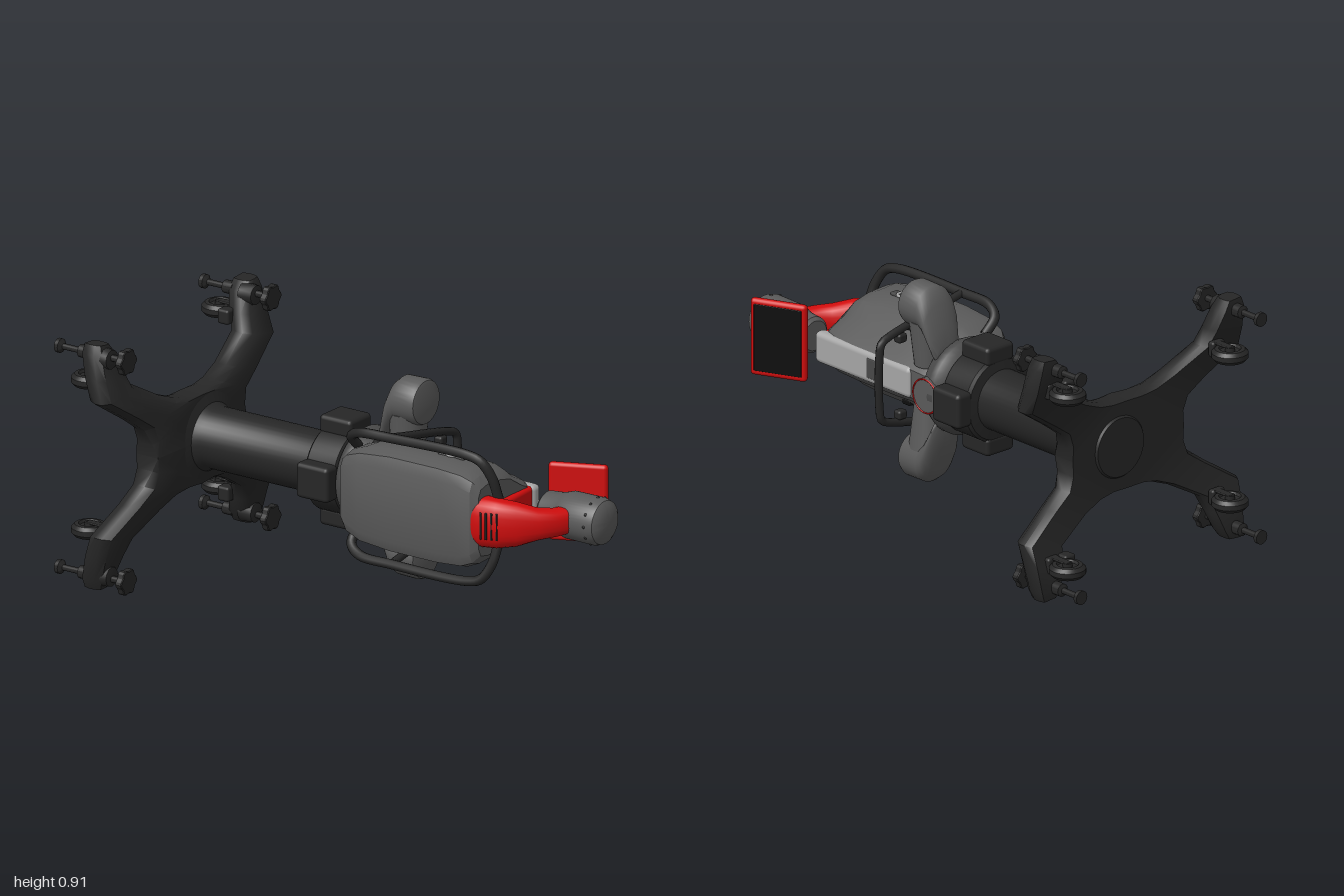
import * as THREE from 'three';
import { toCreasedNormals } from 'three/addons/utils/BufferGeometryUtils.js';
import { RoundedBoxGeometry } from 'three/addons/geometries/RoundedBoxGeometry.js';

const V = (x, y, z) => new THREE.Vector3(x, y, z);
const mat = (color) => new THREE.MeshStandardMaterial({ color, side: THREE.DoubleSide });

export function createModel() {
  const root = new THREE.Group();
  root.name = 'telepresenceRobot';
  // everything is placed relative to the long axis of the robot
  const body = new THREE.Group();
  body.name = 'robot';
  body.position.y = 0.458;
  root.add(body);

  const dark = mat(0x262626), grey = mat(0x5a5a5a), shell = mat(0x484848);
  const light = mat(0xa6a6a6), red = mat(0xd00c0c), black = mat(0x0d0d0d);

  const add = (name, geo, m, x = 0, y = 0, z = 0, parent = body) => {
    const mesh = new THREE.Mesh(geo, m);
    mesh.name = name;
    mesh.position.set(x, y, z);
    parent.add(mesh);
    return mesh;
  };
  const box = (w, h, d, r = 0.01) => new RoundedBoxGeometry(w, h, d, 2, r);
  // lathe around the z axis; profile is [radius, z] pairs, z rising
  const spin = (profile, seg = 40) => toCreasedNormals(
    new THREE.LatheGeometry(profile.map(([r, z]) => new THREE.Vector2(r, z)), seg).rotateX(Math.PI / 2), 0.6);
  const discY = (r, h, seg = 24) => new THREE.CylinderGeometry(r, r, h, seg);
  const discX = (r, h, seg = 32) => discY(r, h, seg).rotateZ(Math.PI / 2);
  const tube = (pts, r) => new THREE.TubeGeometry(
    new THREE.CatmullRomCurve3(pts.map((p) => V(...p)), false, 'centripetal'), 60, r, 10);
  // calls f(angle) for n even steps around a circle
  const around = (n, f) => Array.from({ length: n }, (_, i) => f(i / n * Math.PI * 2));
  // skin over a row of equal-sized loops, closed at both ends
  const loft = (loops, crease = 0.6) => {
    const n = loops[0].length, pos = [], idx = [];
    loops.forEach((l) => l.forEach((p) => pos.push(p.x, p.y, p.z)));
    for (let i = 0; i < loops.length - 1; i++) {
      for (let j = 0; j < n; j++) {
        const a = i * n + j, b = i * n + (j + 1) % n;
        idx.push(a, b, b + n, a, b + n, a + n);
      }
    }
    const last = (loops.length - 1) * n;
    for (let j = 1; j < n - 1; j++) idx.push(0, j + 1, j, last, last + j, last + j + 1);
    const g = new THREE.BufferGeometry();
    g.setAttribute('position', new THREE.Float32BufferAttribute(pos, 3));
    g.setIndex(idx);
    return toCreasedNormals(g, crease);
  };

  // base: one quarter of the X, as [ax, ay, bx, by, bottom, top, edge rounding]
  const stations = [
    [0, 0, 0, 0, -0.79, -0.69, 0],
    [0.265, 0, 0, 0.165, -0.79, -0.695, 0],
    [0.272, 0.05, 0.06, 0.17, -0.79, -0.695, 0.6],
    [0.295, 0.105, 0.12, 0.18, -0.793, -0.70, 1],
    [0.37, 0.16, 0.20, 0.21, -0.80, -0.71, 1],
    [0.505, 0.25, 0.335, 0.285, -0.825, -0.735, 1],
    [0.50, 0.33, 0.357, 0.345, -0.85, -0.76, 1],
    [0.49, 0.42, 0.385, 0.415, -0.868, -0.782, 1],
    [0.475, 0.455, 0.41, 0.45, -0.865, -0.795, 1],
  ];
  const section = [[0.08, 0], [0.92, 0], [1, 0.3], [1, 0.65], [0.87, 0.95], [0.5, 1], [0.13, 0.95], [0, 0.65], [0, 0.3]];
  const legGeo = loft(stations.map(([ax, ay, bx, by, lo, hi, k]) => section.map(([u, v]) => {
    const uu = u === 0.5 ? u : THREE.MathUtils.lerp(Math.round(u), u, k);
    const vv = THREE.MathUtils.lerp(Math.round(v), v, k);
    return V(ax + (bx - ax) * uu, ay + (by - ay) * uu, lo + (hi - lo) * vv);
  })), 0.85);

  // lobed hand knob
  const knobShape = new THREE.Shape(around(36, (q) => {
    const r = 0.042 + 0.004 * Math.cos(6 * q);
    return new THREE.Vector2(r * Math.cos(q), r * Math.sin(q));
  }));
  const knobGeo = new THREE.ExtrudeGeometry(knobShape, { depth: 0.022, bevelSize: 0.003, bevelThickness: 0.003, bevelSegments: 1 });
  const footGeo = spin([[0, -1], [0.026, -1], [0.026, -0.985], [0.011, -0.975], [0.011, -0.905],
    [0.024, -0.9], [0.024, -0.86], [0.012, -0.85], [0.012, -0.71]], 16);
  const wheelGeo = toCreasedNormals(new THREE.LatheGeometry([[0, -0.014], [0.035, -0.014], [0.04, -0.024], [0.054, -0.022],
    [0.066, -0.009], [0.066, 0.009], [0.054, 0.022], [0.04, 0.024], [0.035, 0.014], [0, 0.014]]
    .map(([r, h]) => new THREE.Vector2(r, h)), 32), 0.6);

  for (const sx of [-1, 1]) for (const sy of [-1, 1]) {
    const leg = new THREE.Group();
    leg.name = (sx > 0 ? 'left' : 'right') + (sy > 0 ? 'Upper' : 'Lower') + 'Leg';
    leg.scale.set(sx, sy, 1);
    body.add(leg);
    add('legBeam', legGeo, dark, 0, 0, 0, leg);
    // levelling screw with knob and foot pad
    const kx = sx > 0 ? 0.415 : 0.445;
    add('levellingFoot', footGeo, dark, kx, 0.412, 0, leg);
    add('knob', knobGeo, dark, kx, 0.41, -0.714, leg);
    add('knobBase', spin([[0.04, -0.82], [0.036, -0.765], [0, -0.76]], 12), dark, kx, 0.405, 0, leg);
    // caster: the pairs on either side sit at different heights
    const wx = sx > 0 ? 0.41 : 0.366, wy = sx > 0 ? 0.33 : 0.28;
    add('casterWheel', wheelGeo, dark, wx, wy, -0.92, leg);
    add('casterAxle', discY(0.018, 0.056), dark, wx, wy, -0.92, leg);
    for (const s of [-1, 1]) add('casterFork', box(0.03, 0.008, 0.09, 0.003), dark, wx, wy + s * 0.026, -0.885, leg);
    add('casterStem', box(0.06, 0.06, 0.03), dark, wx + 0.005, wy, -0.845, leg);
    // bracket showing beside the beam on the left legs
    if (sx > 0) add('casterBracket', box(0.05, 0.055, 0.05), dark, 0.353, wy, -0.85, leg);
  }

  // column, collar and waist
  const cx = 0.043;
  add('hubPlate', spin([[0, -0.798], [0.11, -0.798], [0.12, -0.785], [0.12, -0.7]]), dark, cx);
  add('column', spin([[0.16, -0.695], [0.125, -0.685], [0.113, -0.66], [0.113, -0.1]]), dark, cx);
  add('collar', spin([[0.11, -0.175], [0.15, -0.17], [0.16, -0.16], [0.16, -0.04], [0.145, -0.03], [0, -0.03]]), dark, cx);
  for (let i = 0; i < 4; i++) {
    const q = i * Math.PI / 2;
    add('collarPad', box(0.07, 0.13, 0.14, 0.016), dark,
      cx + 0.17 * Math.cos(q), 0.17 * Math.sin(q), -0.103).rotation.z = q;
  }
  add('waist', spin([[0.14, -0.04], [0.165, -0.025], [0.178, -0.005], [0.178, 0.02], [0.16, 0.06], [0, 0.06]]), shell, cx);
  add('buttonHousing', discX(0.066, 0.11), grey, 0.165, 0, 0.03);
  add('buttonRing', new THREE.TorusGeometry(0.063, 0.003, 8, 36).rotateY(Math.PI / 2), red, 0.22, 0, 0.03);

  // torso: wide flat back, narrowing to the front ridge
  const half = [[0.175, 0.055], [0.145, 0.085], [0.08, 0.12], [0.03, 0.165], [-0.04, 0.184], [-0.13, 0.19], [-0.176, 0.175], [-0.192, 0.135]];
  const outline = [...half, ...half.slice().reverse().map(([x, y]) => [x, -y])];
  const torsoRows = [[0.03, 0.88, 0.68], [0.055, 0.96, 0.8], [0.12, 1, 0.93], [0.25, 1, 1], [0.46, 1, 1],
    [0.56, 0.99, 0.96], [0.605, 0.95, 0.86], [0.63, 0.85, 0.7]];
  add('torso', loft(torsoRows.map(([z, fx, fy]) => outline.map(([x, y]) => V(x * fx, y * fy, z))), 0.5), grey);
  add('frontStripe', box(0.05, 0.118, 0.5, 0.02), light, 0.16, 0, 0.4);
  add('stripeDisplay', box(0.01, 0.075, 0.075, 0.004), shell, 0.183, 0, 0.335);
  add('stripeMark', box(0.012, 0.06, 0.008, 0.003), red, 0.184, 0, 0.305);

  // shoulder pod, flat in front and sloping in to the torso behind: [z, y, radius]
  const podGeo = loft([[0.03, 0.13, 0.045], [0.042, 0.165, 0.066], [0.065, 0.232, 0.08], [0.085, 0.27, 0.084], [0.105, 0.285, 0.085],
    [0.185, 0.287, 0.085], [0.197, 0.287, 0.08], [0.2, 0.287, 0.07]].map(([z, y, r]) => around(32, (q) => V(r * Math.cos(q), y + r * Math.sin(q), z))), 0.7);

  for (const s of [-1, 1]) {
    const side = new THREE.Group();
    side.name = s > 0 ? 'upperSide' : 'lowerSide';
    side.scale.y = s;
    body.add(side);
    add('shoulderPod', podGeo, grey, 0.115, 0, 0, side);
    add('shoulderJoint', new THREE.CylinderGeometry(0.075, 0.055, 0.17, 28), grey, 0.115, 0.155, 0.12, side);
    // grab rail
    add('grabRail', tube([[-0.08, 0.15, 0.045], [-0.13, 0.2, 0.05], [-0.15, 0.228, 0.1], [-0.148, 0.235, 0.24],
      [-0.135, 0.235, 0.56], [-0.128, 0.218, 0.615], [-0.11, 0.16, 0.65], [-0.09, 0.08, 0.665]], 0.018), dark, 0, 0, 0, side);
    // side latch and port
    add('latchPlate', box(0.035, 0.012, 0.11, 0.005), shell, -0.055, 0.186, 0.44, side);
    add('latchRing', new THREE.TorusGeometry(0.022, 0.006, 8, 20).rotateX(Math.PI / 2), light, -0.055, 0.192, 0.44, side);
    add('sidePort', box(0.03, 0.02, 0.04, 0.005), black, 0.05, 0.143, 0.3, side);
    add('handleMount', box(0.04, 0.035, 0.035), dark, 0.15, 0.145, 0.235, side);
  }
  // hoop around the front, joining the two rails
  add('frontHoop', tube([[-0.14, 0.235, 0.235], [-0.08, 0.222, 0.235], [0.2, 0.163, 0.235], [0.24, 0.145, 0.235],
    [0.25, 0.1, 0.235], [0.25, -0.1, 0.235], [0.24, -0.145, 0.235], [0.2, -0.163, 0.235],
    [-0.08, -0.222, 0.235], [-0.14, -0.235, 0.235]], 0.015), dark);

  // curved neck: [x, z, half thickness, half width]
  const neckRows = [[-0.125, 0.59, 0.056, 0.085], [-0.125, 0.63, 0.056, 0.092], [-0.115, 0.68, 0.052, 0.09],
    [-0.085, 0.74, 0.047, 0.08], [-0.04, 0.795, 0.044, 0.058], [0.01, 0.835, 0.044, 0.05], [0.07, 0.855, 0.042, 0.048]];
  const squash = (c) => Math.sign(c) * Math.abs(c) ** 0.75;
  add('neck', loft(neckRows.map(([x, z, t, w], i) => {
    const a = neckRows[Math.max(0, i - 1)], b = neckRows[Math.min(neckRows.length - 1, i + 1)];
    const n = V(0, 1, 0).cross(V(b[0] - a[0], 0, b[1] - a[1]).normalize());
    return around(24, (q) => V(x, w * squash(Math.sin(q)), z).addScaledVector(n, t * squash(Math.cos(q))));
  })), red);
  add('neckCollar', box(0.29, 0.11, 0.035, 0.014), red, 0.02, 0, 0.636).rotation.y = 0.1;
  for (let i = 0; i < 4; i++) add('neckVent', box(0.006, 0.1, 0.008, 0.002), dark, -0.178 + i * 0.007, 0, 0.65 + i * 0.018);

  // camera head
  add('head', spin([[0, 0.72], [0.055, 0.72], [0.067, 0.732], [0.072, 0.79], [0.079, 0.815], [0.086, 0.835],
    [0.087, 0.955], [0.08, 0.98], [0.062, 0.993], [0.03, 0.999], [0, 1]], 48), grey, 0.112);
  around(12, (q) => add('headSensor', new THREE.SphereGeometry(0.006, 8, 6), dark,
    0.112 + 0.085 * Math.cos(q), 0.085 * Math.sin(q), 0.95));

  // tilted tablet on the side of the head
  const tablet = new THREE.Group();
  tablet.name = 'tablet';
  tablet.position.set(0.232, 0.002, 0.777);
  tablet.rotation.y = 0.43;
  body.add(tablet);
  add('tabletFrame', box(0.03, 0.29, 0.215, 0.014), red, 0, 0, 0, tablet);
  add('tabletScreen', box(0.006, 0.252, 0.182, 0.002), black, 0.0145, 0, 0, tablet);
  add('tabletArm', box(0.07, 0.055, 0.05), red, -0.035, 0, 0, tablet);

  return root;
}
